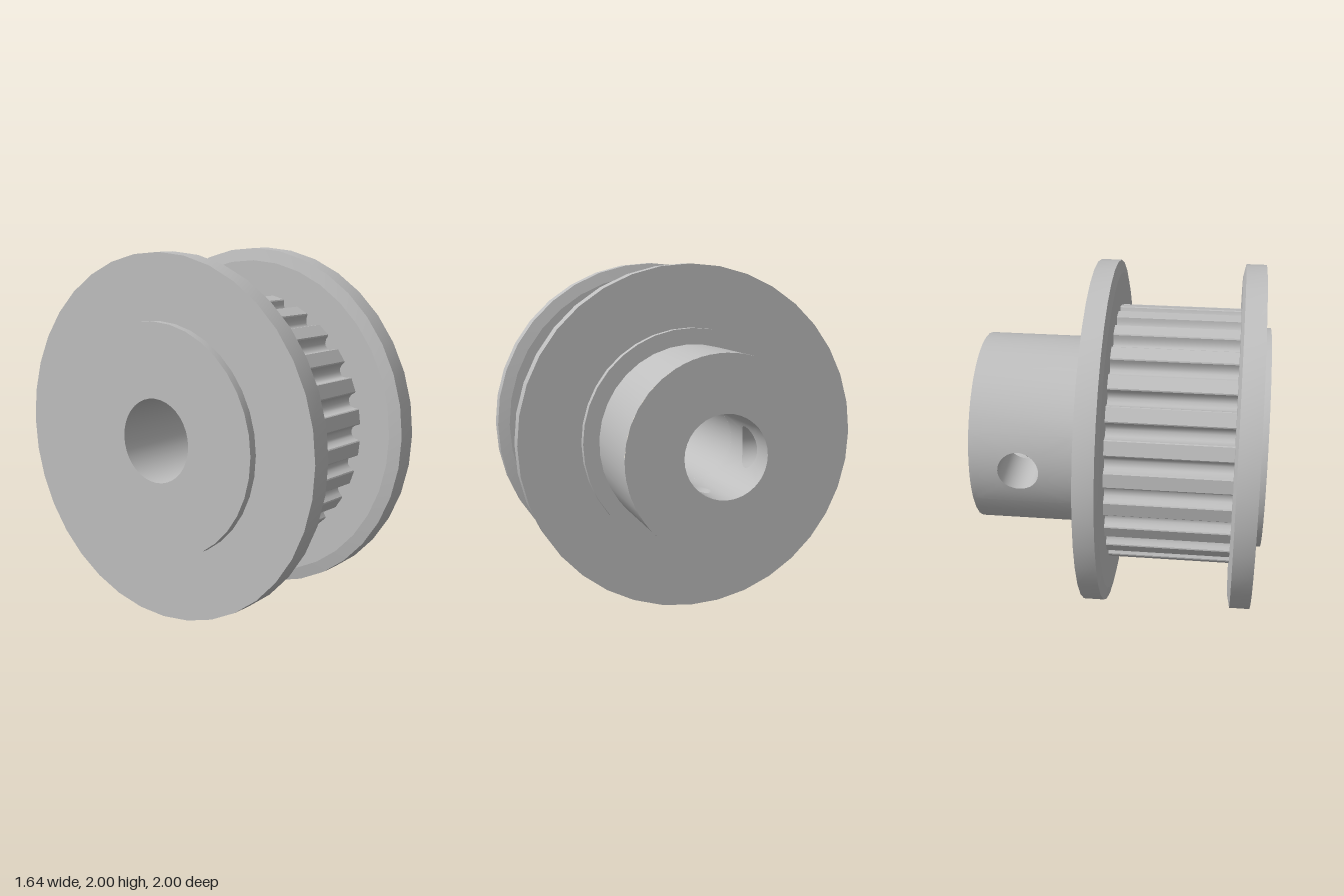
import * as THREE from 'three';
import { mergeGeometries, toCreasedNormals } from 'three/addons/utils/BufferGeometryUtils.js';

const SEGMENTS = 36;
const BORE = 0.23, HUB = 0.548, COLLAR = 0.64;
const HUB_START = 0.225, HUB_END = 0.82;
const HOLE_R = 0.115, HOLE_X = 0.545;
const HOLE_ANGLES = [Math.PI / 3, Math.PI];

// Point on a cylinder around the x axis
const onCylinder = (radius, phi, x) => [x, -radius * Math.sin(phi), radius * Math.cos(phi)];

// Surface sampled over s, t in 0..1; the front side is t cross s
function grid(ns, nt, fn, flip = false) {
  const positions = [], index = [];
  for (let i = 0; i <= ns; i++)
    for (let j = 0; j <= nt; j++) positions.push(...fn(i / ns, j / nt));
  for (let i = 0; i < ns; i++)
    for (let j = 0; j < nt; j++) {
      const a = i * (nt + 1) + j, b = a + 1, c = b + nt + 1, d = c - 1;
      index.push(...(flip ? [a, c, b, a, d, c] : [a, b, c, a, c, d]));
    }
  const geometry = new THREE.BufferGeometry();
  geometry.setAttribute('position', new THREE.Float32BufferAttribute(positions, 3));
  geometry.setIndex(index);
  return geometry;
}

// Profile of [radius, x] pairs revolved around the x axis
function revolve(profile) {
  const geometry = new THREE.LatheGeometry(profile.map(([r, x]) => new THREE.Vector2(r, x)), SEGMENTS);
  geometry.rotateZ(-Math.PI / 2);
  return toCreasedNormals(geometry, 0.2);
}

// Angle and x of a point on the rim of a set-screw hole
function holeRim(radius, theta) {
  return [Math.asin(HOLE_R * Math.cos(theta) / radius), HOLE_X + HOLE_R * Math.sin(theta)];
}

// Cylinder wall along the hub with the two screw holes left open
function piercedWall(radius, half, flip) {
  const pieces = [];
  HOLE_ANGLES.forEach((phi0, k) => {
    // Patch blending from the round rim to a rectangle
    pieces.push(grid(48, 6, (s, t) => {
      const theta = s * Math.PI * 2, c = Math.cos(theta), n = Math.sin(theta);
      const m = Math.max(Math.abs(c), Math.abs(n));
      const [rimPhi, rimX] = holeRim(radius, theta);
      const edgeX = HOLE_X + (n / m) * (n > 0 ? HUB_END - HOLE_X : HOLE_X - HUB_START);
      const phi = THREE.MathUtils.lerp(rimPhi, (c / m) * half, t);
      return onCylinder(radius, phi0 + phi, THREE.MathUtils.lerp(rimX, edgeX, t));
    }, flip));
    // Plain arc up to the next patch
    const next = k === 0 ? HOLE_ANGLES[1] : HOLE_ANGLES[0] + Math.PI * 2;
    const start = phi0 + half, length = next - half - start;
    const steps = Math.round(length / (Math.PI * 2) * SEGMENTS);
    pieces.push(grid(1, steps, (s, t) =>
      onCylinder(radius, start + length * t, THREE.MathUtils.lerp(HUB_START, HUB_END, s)), flip));
  });
  return toCreasedNormals(mergeGeometries(pieces), 0.4);
}

// Toothed belt drum
function toothedDrum() {
  const teeth = 26, pitch = Math.PI * 2 / teeth;
  const half = [[0.052, 0.745], [0.06, 0.74], [0.067, 0.718], [0.085, 0.697], [0.105, 0.69]];
  const tooth = [...half.map(([a, r]) => [-a, r]).reverse(), ...half];
  const points = [];
  for (let k = 0; k < teeth; k++)
    for (const [a, r] of tooth) {
      const angle = Math.PI / 2 + k * pitch + a;
      points.push(new THREE.Vector2(r * Math.cos(angle), r * Math.sin(angle)));
    }
  const shape = new THREE.Shape(points);
  shape.holes.push(new THREE.Path().absarc(0, 0, 0.4, 0, Math.PI * 2, true));
  const geometry = new THREE.ExtrudeGeometry(shape, { depth: 0.7, bevelEnabled: false, curveSegments: 24 });
  geometry.rotateY(Math.PI / 2).translate(-0.65, 0, 0);
  return toCreasedNormals(geometry, 0.6);
}

export function createModel() {
  const model = new THREE.Group();
  model.name = 'timingPulley';
  const metal = new THREE.MeshStandardMaterial({ color: 0xbfbfbf });
  metal.name = 'grey metal';
  const add = (name, geometry) => {
    const mesh = new THREE.Mesh(geometry, metal);
    mesh.name = name;
    mesh.position.y = 1;
    model.add(mesh);
  };

  // Flanges with a raised collar outside and a chamfered inner rim
  add('outerFlange', revolve([[BORE, -0.82], [COLLAR, -0.82], [COLLAR, -0.775], [1, -0.775],
    [1, -0.66], [0.93, -0.645], [0.66, -0.645]]));
  add('hubFlange', revolve([[0.66, 0.045], [0.93, 0.045], [1, 0.06], [1, 0.175],
    [COLLAR, 0.175], [COLLAR, HUB_START], [HUB, HUB_START]]));
  add('toothedDrum', toothedDrum());

  // Hub with end face and through bore
  add('hubWall', piercedWall(HUB, 0.4, false));
  add('hubEnd', revolve([[HUB, HUB_END], [BORE, HUB_END]]));
  add('bore', revolve([[BORE, HUB_START], [BORE, -0.82]]));
  add('hubBore', piercedWall(BORE, 0.75, true));

  // Set-screw hole walls running from the bore to the hub surface
  HOLE_ANGLES.forEach((phi0, k) => {
    add('screwHole' + (k + 1), toCreasedNormals(grid(48, 1, (s, t) => {
      const radius = t ? HUB : BORE;
      const [phi, x] = holeRim(radius, s * Math.PI * 2);
      return onCylinder(radius, phi0 + phi, x);
    }), 0.4));
  });
  return model;
}
